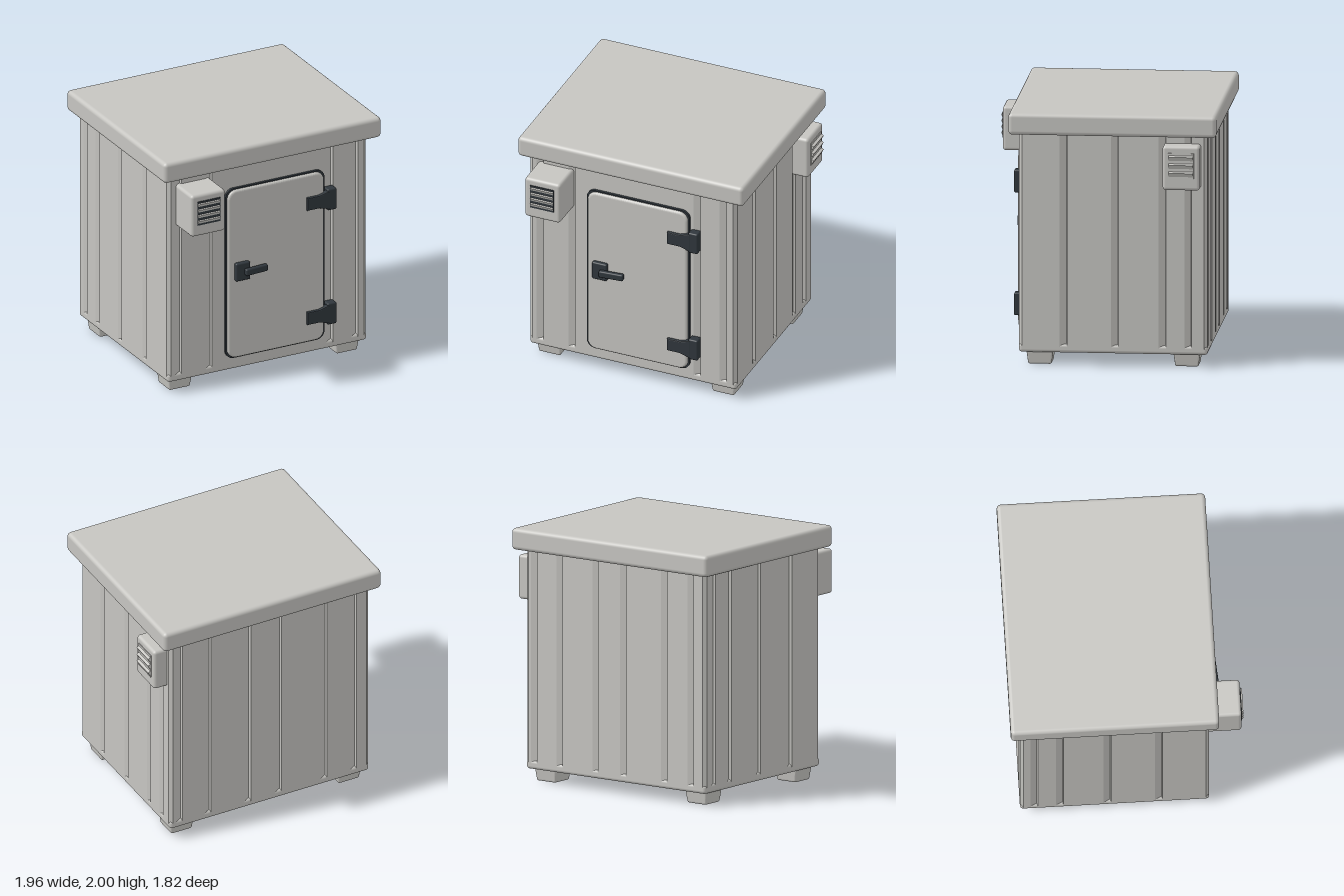
import * as THREE from 'three';
import { RoundedBoxGeometry } from 'three/addons/geometries/RoundedBoxGeometry.js';

const shell = new THREE.MeshStandardMaterial({ color: 0xc6c5c1 });
shell.name = 'paleGrey';
const dark = new THREE.MeshStandardMaterial({ color: 0x30373d });
dark.name = 'darkSlate';

function add(parent, name, geometry, material) {
  const mesh = new THREE.Mesh(geometry, material);
  mesh.name = name;
  parent.add(mesh);
  return mesh;
}

// Rounded box given by its limits on each axis
function block(parent, name, [x0, x1], [y0, y1], [z0, z1], r, material) {
  const geo = new RoundedBoxGeometry(x1 - x0, y1 - y0, z1 - z0, 3, r);
  geo.translate((x0 + x1) / 2, (y0 + y1) / 2, (z0 + z1) / 2);
  return add(parent, name, geo, material);
}

function roundedRect(x0, x1, y0, y1, r) {
  const s = new THREE.Shape();
  s.absarc(x1 - r, y1 - r, r, 0, Math.PI / 2);
  s.absarc(x0 + r, y1 - r, r, Math.PI / 2, Math.PI);
  s.absarc(x0 + r, y0 + r, r, Math.PI, Math.PI * 1.5);
  s.absarc(x1 - r, y0 + r, r, Math.PI * 1.5, Math.PI * 2);
  return s;
}

// Wall plan: straight sides broken by shallow lapped seams, chamfered corners
function wallOutline() {
  const pts = [];
  const side = (x0, y0, x1, y1, seams) => {
    const a = new THREE.Vector2(x0, y0);
    const b = new THREE.Vector2(x1, y1);
    const len = a.distanceTo(b);
    const dir = b.clone().sub(a).normalize();
    const inward = new THREE.Vector2(-dir.y, dir.x);
    const put = (t, depth) =>
      pts.push(a.clone().addScaledVector(dir, t).addScaledVector(inward, depth));
    put(0.025, 0);
    for (const t of seams) {
      put(t - 0.05, 0);
      put(t, 0.02);
      put(t + 0.008, 0);
    }
    put(len - 0.025, 0);
  };
  side(-0.91, -0.64, 0.84, -0.64, [0.11, 0.38, 1.44, 1.66]);     // front
  side(0.84, -0.64, 0.84, 0.83, [0.37, 0.77, 1.14, 1.34]);       // left
  side(0.84, 0.83, -0.91, 0.83, [0.1, 0.35, 0.7, 0.97, 1.37, 1.63]); // back
  side(-0.91, 0.83, -0.91, -0.64, [0.13, 0.33, 0.7, 1.1]);       // right
  return new THREE.Shape(pts);
}

// Vent hood facing +z, back at z = 0, centred on x and y
function vent(name, width, height, depth, backing, slats, slatDepth) {
  const g = new THREE.Group();
  g.name = name;
  const w = width / 2, h = height / 2;
  block(g, 'ventHood', [-w, w], [-h, h], [-0.04, depth], 0.025, shell);
  const plate = add(g, 'ventOpening', new THREE.BoxGeometry(0.2, 0.2, 0.008), backing);
  plate.position.set(0, -0.01 + 0.03, depth + 0.002);
  for (let i = 0; i < slats; i++) {
    const slat = add(g, 'ventSlat', new THREE.BoxGeometry(0.19, 0.1 / slats, slatDepth), shell);
    slat.position.set(0, 0.02 + (((i + 0.5) / slats) - 0.5) * 0.19, depth + 0.006);
    slat.rotation.x = 0.45;
  }
  return g;
}

// Hinge: mounting block with a tapered strap reaching over the door
function hinge(y) {
  const g = new THREE.Group();
  g.name = 'hinge';
  block(g, 'hingeBlock', [0.46, 0.54], [-0.09, 0.09], [0.63, 0.705], 0.012, dark);
  const strap = new THREE.Shape([
    [0.29, -0.045], [0.39, -0.045], [0.47, -0.07],
    [0.47, 0.07], [0.39, 0.045], [0.29, 0.045],
  ].map(([x, v]) => new THREE.Vector2(x, v)));
  const geo = new THREE.ExtrudeGeometry(strap, {
    depth: 0.03, bevelThickness: 0.008, bevelSize: 0.008, bevelSegments: 2,
  });
  geo.translate(0, 0, 0.67);
  add(g, 'hingeStrap', geo, dark);
  g.position.y = y;
  return g;
}

export function createModel() {
  const model = new THREE.Group();
  model.name = 'utilityCabin';

  // Walls, rounded sill and roof slab
  const walls = new THREE.ExtrudeGeometry(wallOutline(), { depth: 1.72, bevelEnabled: false });
  walls.rotateX(-Math.PI / 2);
  walls.translate(0, 0.13, 0);
  add(model, 'walls', walls, shell);
  block(model, 'sill', [-0.91, 0.84], [0.1, 0.17], [-0.83, 0.64], 0.025, shell);
  block(model, 'roof', [-0.98, 0.93], [1.83, 2], [-0.905, 0.715], 0.032, shell);

  // Tapered feet
  for (const x of [-0.77, 0.7]) {
    for (const z of [0.48, -0.665]) {
      const geo = new RoundedBoxGeometry(0.215, 0.13, 0.215, 3, 0.015);
      const p = geo.attributes.position;
      for (let i = 0; i < p.count; i++) {
        const k = 0.92 + p.getY(i) * 1.2;
        p.setX(i, p.getX(i) * k);
        p.setZ(i, p.getZ(i) * k);
      }
      geo.computeVertexNormals();
      add(model, 'foot', geo, shell).position.set(x, 0.065, z);
    }
  }

  // Door with its dark seal
  const seal = new THREE.ExtrudeGeometry(roundedRect(-0.415, 0.455, 0.205, 1.642, 0.07), {
    depth: 0.025, bevelEnabled: false, curveSegments: 6,
  });
  seal.translate(0, 0, 0.635);
  add(model, 'doorSeal', seal, dark);
  const door = new THREE.ExtrudeGeometry(roundedRect(-0.383, 0.423, 0.232, 1.612, 0.055), {
    depth: 0.02, bevelThickness: 0.018, bevelSize: 0.02, bevelSegments: 4, curveSegments: 6,
  });
  door.translate(0, 0, 0.645);
  add(model, 'door', door, shell);

  // Hinges and latch
  model.add(hinge(1.39), hinge(0.42));
  block(model, 'latchBlock', [-0.35, -0.225], [0.87, 1.02], [0.66, 0.715], 0.012, dark);
  const lever = block(model, 'latchLever', [-0.1, 0.1], [-0.028, 0.028], [-0.02, 0.02], 0.012, dark);
  lever.position.set(-0.18, 0.945, 0.725);
  lever.rotation.y = 0.08;

  // Vent hoods on the front and the left wall
  const front = vent('frontVent', 0.3, 0.35, 0.255, dark, 4, 0.012);
  front.position.set(-0.69, 1.595, 0.64);
  const sideVent = vent('sideVent', 0.29, 0.35, 0.115, shell, 3, 0.03);
  sideVent.position.set(0.84, 1.595, -0.635);
  sideVent.rotation.y = Math.PI / 2;
  model.add(front, sideVent);

  return model;
}
